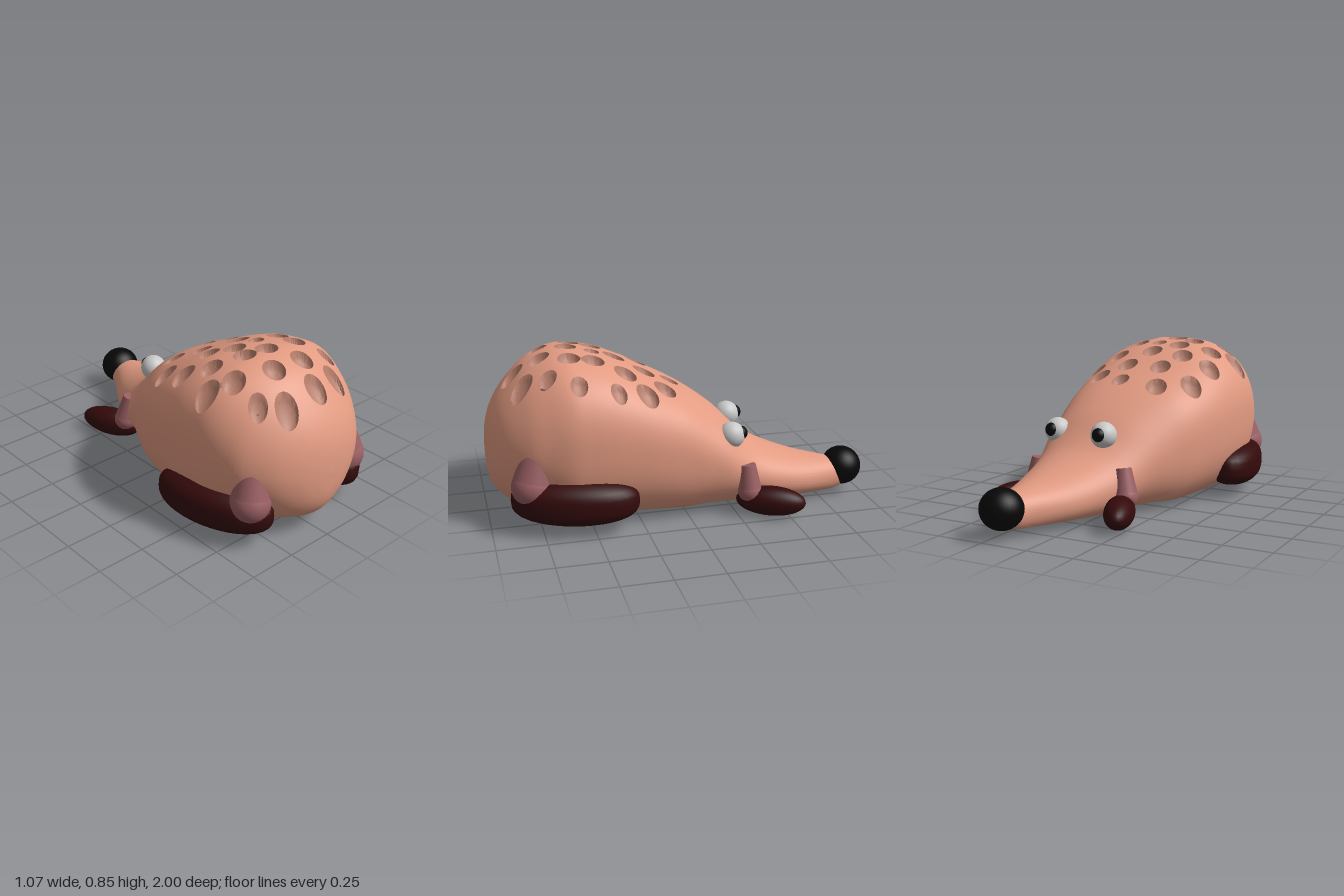
import * as THREE from 'three';
import { toCreasedNormals } from 'three/addons/utils/BufferGeometryUtils.js';

const { smoothstep, clamp } = THREE.MathUtils;
const mat = (name, color) => Object.assign(new THREE.MeshStandardMaterial({ color }), { name });
const V = (x, y, z) => new THREE.Vector3(x, y, z);
const FLOOR = 0.043;

// Body sections: z, left edge x, right edge x, top y, virtual bottom y, y of the widest point
const SECTIONS = [
  [-0.87, 0.12, 0.285, 0.19, 0.03, 0.12],
  [-0.8, 0.09, 0.305, 0.205, 0.01, 0.11],
  [-0.6, -0.04, 0.355, 0.25, 0.0, 0.12],
  [-0.4, -0.15, 0.38, 0.33, -0.01, 0.16],
  [-0.3, -0.195, 0.39, 0.405, -0.01, 0.2],
  [-0.2, -0.245, 0.41, 0.505, -0.02, 0.25],
  [-0.1, -0.305, 0.42, 0.58, -0.02, 0.28],
  [0, -0.36, 0.43, 0.64, -0.03, 0.32],
  [0.1, -0.4, 0.442, 0.69, -0.03, 0.35],
  [0.2, -0.432, 0.452, 0.738, -0.03, 0.38],
  [0.3, -0.453, 0.458, 0.785, -0.03, 0.4],
  [0.4, -0.466, 0.462, 0.822, -0.03, 0.42],
  [0.5, -0.467, 0.462, 0.842, -0.03, 0.43],
  [0.6, -0.46, 0.455, 0.85, -0.02, 0.43],
  [0.7, -0.435, 0.425, 0.826, 0.0, 0.42],
  [0.8, -0.39, 0.38, 0.768, 0.03, 0.4],
  [0.9, -0.295, 0.29, 0.66, 0.078, 0.38],
  [0.96, -0.19, 0.19, 0.56, 0.145, 0.36],
  [0.988, -0.09, 0.09, 0.46, 0.23, 0.35],
  [0.996, 0, 0, 0.35, 0.35, 0.35],
];
const SPANS = SECTIONS.length - 1;
const WIDTHS = new THREE.CatmullRomCurve3(SECTIONS.map(s => V(s[0], s[1], s[2])), false, 'catmullrom');
const HEIGHTS = new THREE.CatmullRomCurve3(SECTIONS.map(s => V(s[3], s[4], s[5])), false, 'catmullrom');

function sectionAt(t) {
  const { x: z, y: left, z: right } = WIDTHS.getPoint(t);
  const { x: top, y: bottom, z: mid } = HEIGHTS.getPoint(t);
  // Squarer in the middle of the back, rounder towards both ends
  const n = 2.5 - 0.45 * smoothstep(Math.abs(z - 0.3), 0.25, 0.55);
  return { z, cx: (left + right) / 2, hw: (right - left) / 2, top, bottom, mid, n };
}

// Height of the back above a point on the ground
function backHeight(x, z) {
  let lo = 0, hi = 1;
  for (let i = 0; i < 24; i++) {
    const m = (lo + hi) / 2;
    if (WIDTHS.getPoint(m).x < z) lo = m; else hi = m;
  }
  const s = sectionAt(lo), u = clamp(Math.abs(x - s.cx) / s.hw, 0, 1);
  return s.mid + (s.top - s.mid) * (1 - u ** s.n) ** (1 / s.n);
}

// Round dents on the back: x, z, radius
const DENTS = [
  [-0.14, 0.03], [0.08, 0.04, 0.048], [0.24, 0.1], [-0.29, 0.14], [-0.09, 0.18], [0.11, 0.18],
  [0.33, 0.21], [-0.32, 0.31], [-0.16, 0.31], [0.03, 0.32], [0.23, 0.3], [0.365, 0.36, 0.04],
  [-0.27, 0.45], [-0.09, 0.42], [0.04, 0.435, 0.04], [0.175, 0.45], [-0.375, 0.54], [-0.13, 0.53],
  [-0.015, 0.56], [0.165, 0.57], [0.35, 0.55, 0.042], [-0.285, 0.62], [-0.105, 0.7], [0.07, 0.71],
  [0.265, 0.69, 0.045], [-0.27, 0.765, 0.045], [-0.165, 0.845], [0.03, 0.84], [0.195, 0.81],
];

// Sinks a point of the back into a dent, or snaps it to a nearby rim; true if it belongs to a dent
function applyDent(p) {
  for (const [dx, dz, r = 0.056] of DENTS) {
    const d = Math.hypot(p.x - dx, p.z - dz);
    if (Math.abs(d - r) < 0.0055) {
      p.x = dx + (p.x - dx) * r / d;
      p.z = dz + (p.z - dz) * r / d;
      p.y = backHeight(p.x, p.z);
      return true;
    }
    if (d < r) {
      p.y -= Math.sqrt(r * r - d * d);
      return true;
    }
  }
  return false;
}

function bodyGeometries() {
  const upper = 200, ring = 230, stations = [];
  // Finer rows where the dents are
  for (let s = 0; s < SPANS; s++) {
    const steps = s < 6 ? 5 : 14;
    for (let k = 0; k < steps; k++) stations.push((s + k / steps) / SPANS);
  }
  stations.push(1);
  const pos = [], inDent = [], skinFaces = [], dentFaces = [];
  for (const t of stations) {
    const s = sectionAt(t);
    for (let j = 0; j < ring; j++) {
      const isUpper = j < upper;
      const a = isUpper ? Math.PI * j / upper : Math.PI * (1 + (j - upper) / (ring - upper));
      const c = Math.cos(a), e = Math.sin(a);
      // The rump narrows more below
      const n = isUpper ? s.n : s.n - 0.25 * smoothstep(s.z, 0.55, 0.85);
      const rad = (Math.abs(c) ** n + Math.abs(e) ** n) ** (-1 / n);
      const p = V(s.cx + s.hw * c * rad, s.mid + (isUpper ? s.top - s.mid : s.mid - s.bottom) * e * rad, s.z);
      inDent.push(isUpper && j > 0 && applyDent(p));
      pos.push(p.x, Math.max(p.y, FLOOR), p.z);
    }
  }
  for (let i = 0; i < stations.length - 1; i++) {
    for (let j = 0; j < ring; j++) {
      const k = (j + 1) % ring, p = i * ring, n = p + ring;
      for (const f of [[p + j, p + k, n + k], [p + j, n + k, n + j]]) {
        (f.every(v => inDent[v]) ? dentFaces : skinFaces).push(...f);
      }
    }
  }
  return [skinFaces, dentFaces].map(faces => {
    const g = new THREE.BufferGeometry();
    g.setAttribute('position', new THREE.Float32BufferAttribute(pos, 3));
    g.setIndex(faces);
    return toCreasedNormals(g, 0.8);
  });
}

export function createModel() {
  const skin = mat('skin', 0xe39b82);
  const dentBrown = mat('dentBrown', 0xb87f6c);
  const legPink = mat('legPink', 0x9a5f63);
  const footMaroon = mat('footMaroon', 0x340a0b);
  const black = mat('black', 0x070707);
  const eyeWhite = mat('eyeWhite', 0xc8c8c8);

  const model = new THREE.Group();
  const add = (name, geometry, material) => {
    const m = new THREE.Mesh(geometry, material);
    m.name = name;
    model.add(m);
    return m;
  };
  const ball = (name, material, p, rx, ry = rx, rz = rx) => {
    const m = add(name, new THREE.SphereGeometry(1, 32, 20), material);
    m.position.copy(p);
    m.scale.set(rx, ry, rz);
    return m;
  };
  // Tapered leg from a to b with a rounded base
  const taper = (name, a, b, ra, rb) => {
    const leg = add(name, new THREE.CylinderGeometry(rb, ra, a.distanceTo(b), 28), legPink);
    leg.quaternion.setFromUnitVectors(V(0, 1, 0), b.clone().sub(a).normalize());
    leg.position.copy(a).lerp(b, 0.5);
    ball(name + 'Base', legPink, a, ra);
  };

  const [shell, dents] = bodyGeometries();
  add('body', shell, skin);
  add('backDents', dents, dentBrown);
  ball('nose', black, V(0.205, 0.145, -0.895), 0.11, 0.103, 0.105);

  // Eyes with pupils looking forward
  for (const [side, p, dir] of [
    ['right', V(-0.01, 0.42, -0.302), V(0, 0.15, -1)],
    ['left', V(0.305, 0.41, -0.235), V(0.15, 0.2, -1)],
  ]) {
    ball(side + 'Eye', eyeWhite, p, 0.068);
    ball(side + 'Pupil', black, p.clone().addScaledVector(dir.normalize(), 0.044), 0.038);
  }

  // Hind feet: long ovals with flattened tops and soles
  for (const [side, s] of [['right', -1], ['left', 1]]) {
    const foot = ball(side + 'HindFoot', footMaroon, V(s * 0.365, 0.163, 0.59), 0.15, 0.121, 0.32);
    foot.rotation.y = -s * 0.25;
    const p = foot.geometry.attributes.position;
    for (let i = 0; i < p.count; i++) p.setY(i, Math.sign(p.getY(i)) * Math.abs(p.getY(i)) ** 0.7);
    foot.geometry.computeVertexNormals();
  }

  // Hind legs lean into the body
  taper('rightHindLeg', V(-0.34, 0.24, 0.805), V(-0.25, 0.66, 0.745), 0.1, 0.03);
  taper('leftHindLeg', V(0.33, 0.24, 0.795), V(0.265, 0.71, 0.69), 0.104, 0.035);

  // Front feet and legs
  for (const [side, p, turn] of [
    ['right', V(-0.19, 0.077, -0.465), 0.38],
    ['left', V(0.435, 0.08, -0.41), -0.47],
  ]) {
    ball(side + 'FrontFoot', footMaroon, p, 0.077, 0.077, 0.18).rotation.y = turn;
  }
  taper('rightFrontLeg', V(-0.17, 0.13, -0.36), V(-0.145, 0.27, -0.34), 0.062, 0.04);
  taper('leftFrontLeg', V(0.395, 0.13, -0.31), V(0.38, 0.27, -0.3), 0.062, 0.04);

  return model;
}
